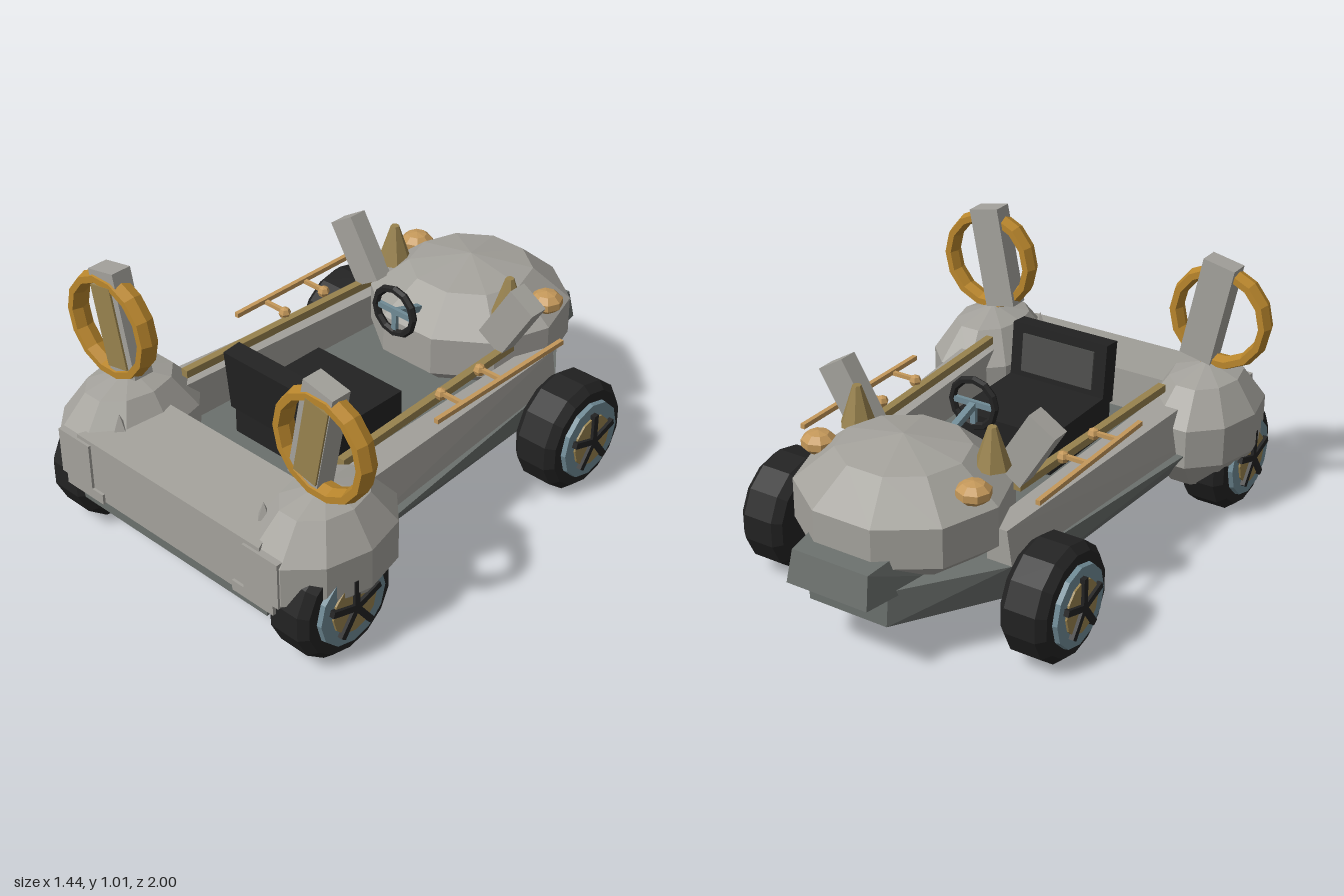
import * as THREE from 'three';
import { ConvexGeometry } from 'three/addons/geometries/ConvexGeometry.js';

const paint = (name, color) => {
  const m = new THREE.MeshStandardMaterial({ color });
  m.name = name;
  return m;
};

export function createModel() {
  const kart = new THREE.Group();
  kart.name = 'kart';
  const body = paint('body grey', 0xa3a19b);
  const hull = paint('hull grey', 0x6b706d);
  const black = paint('rubber black', 0x222222);
  const panelGrey = paint('seat panel grey', 0x4c4d4b);
  const gold = paint('ring gold', 0xb9862c);
  const khaki = paint('khaki brass', 0x98824e);
  const copper = paint('copper', 0xc4985a);
  const steel = paint('blue steel', 0x6f8a95);

  // Adds a faceted mesh: split faces carry their own normals
  const add = (name, geo, mat, x = 0, y = 0, z = 0, parent = kart) => {
    const g = geo.index ? geo.toNonIndexed() : geo;
    g.computeVertexNormals();
    const m = new THREE.Mesh(g, mat);
    m.name = name;
    m.position.set(x, y, z);
    parent.add(m);
    return m;
  };
  const box = (w, h, d) => new THREE.BoxGeometry(w, h, d);
  const convex = (pts) => new ConvexGeometry(pts.map((p) => new THREE.Vector3(...p)));
  const mirrored = (pts) => convex(pts.flatMap(([x, y, z]) => [[x, y, z], [-x, y, z]]));
  const ball = (rx, ry, rz, w = 10, h = 5) => new THREE.SphereGeometry(1, w, h).scale(rx, ry, rz);

  // Lower hull; its top is the cockpit floor
  add('lowerHull', mirrored([
    [0.16, 0.18, -0.89], [0.39, 0.18, -0.52], [0.46, 0.18, 0.97],
    [0.17, 0.32, -0.89], [0.43, 0.33, -0.55], [0.545, 0.33, 0.5], [0.46, 0.33, 0.97],
  ]), hull);

  // Rear deck and panel
  add('rearDeck', mirrored([
    [0.45, 0.235, 0.985], [0.45, 0.465, 0.985], [0.32, 0.235, 0.67], [0.32, 0.49, 0.67],
  ]), body);

  // Nose dome and bumper
  add('noseDome', ball(0.4, 0.24, 0.39), body, 0, 0.47, -0.555);
  add('noseBumper', mirrored([
    [0.18, 0.44, -0.75], [0.155, 0.42, -0.975], [0.165, 0.3, -1], [0.22, 0.3, -0.7],
  ]), hull);

  // Seat
  add('seatCushion', box(0.41, 0.16, 0.42), black, 0, 0.405, 0.26);
  const seatBack = new THREE.Group();
  seatBack.name = 'seatBack';
  seatBack.position.set(0, 0.57, 0.465);
  seatBack.rotation.x = 0.1;
  kart.add(seatBack);
  add('backrest', box(0.41, 0.24, 0.075), black, 0, 0, 0, seatBack);
  add('backrestPanel', box(0.31, 0.15, 0.009), panelGrey, 0, 0.01, -0.041, seatBack);

  // Steering wheel
  add('steeringWheel', new THREE.TorusGeometry(0.09, 0.015, 6, 12), black, 0, 0.645, -0.135);
  add('steeringSpoke', box(0.16, 0.022, 0.015), steel, 0, 0.645, -0.137);
  add('steeringStem', box(0.022, 0.09, 0.015), steel, 0, 0.6, -0.137);
  const column = add('steeringColumn', box(0.025, 0.025, 0.14), steel, 0, 0.62, -0.2);
  column.rotation.x = -0.3;

  // Tyre, rim, hub and star of spokes; the axle points to the side s
  const tyreProfile = [[0, -0.09], [0.19, -0.09], [0.217, -0.06], [0.217, 0.06], [0.19, 0.09], [0, 0.09]]
    .map((p) => new THREE.Vector2(...p));
  const addWheel = (name, s, z) => {
    const w = new THREE.Group();
    w.name = name;
    w.position.set(s * 0.55, 0.217, z);
    w.rotation.y = s * Math.PI / 2;
    kart.add(w);
    const turn = Math.PI / 2;
    add('tyre', new THREE.LatheGeometry(tyreProfile, 14).rotateX(turn), black, 0, 0, 0, w);
    add('rim', new THREE.CylinderGeometry(0.15, 0.155, 0.03, 12).rotateX(turn), steel, 0, 0, 0.093, w);
    add('hub', new THREE.CylinderGeometry(0.1, 0.105, 0.03, 12).rotateX(turn), khaki, 0, 0, 0.1, w);
    for (let i = 0; i < 5; i++) {
      const spoke = box(0.024, 0.115, 0.03).translate(0, 0.057, 0).rotateZ(i * Math.PI * 0.4);
      add('spoke', spoke, black, 0, 0, 0.112, w);
    }
  };

  for (const s of [1, -1]) {
    const side = s > 0 ? 'left' : 'right';
    addWheel(side + 'FrontWheel', s, 0.77);
    addWheel(side + 'BackWheel', s, -0.48);

    // Tapered side wall of the cockpit
    add(side + 'SideWall', convex([
      [0.52, 0.33, 0.6], [0.49, 0.49, 0.6], [0.37, 0.49, 0.6], [0.37, 0.33, 0.6],
      [0.43, 0.33, -0.55], [0.41, 0.46, -0.55], [0.33, 0.46, -0.55], [0.33, 0.33, -0.55],
    ].map(([x, y, z]) => [s * x, y, z])), body);

    // Round fender with flap, lip and small spur
    add(side + 'Fender', ball(0.22, 0.245, 0.3), body, s * 0.48, 0.355, 0.715);
    add(side + 'FenderFlap', box(0.16, 0.18, 0.1), body, s * 0.46, 0.36, 0.945);
    add(side + 'FenderLip', box(0.19, 0.04, 0.08), body, s * 0.42, 0.25, 0.955);
    add(side + 'FenderSpur', new THREE.ConeGeometry(0.03, 0.07, 4), body, s * 0.355, 0.5, 0.87);

    // Gold ring with a leaning post
    add(side + 'Ring', new THREE.TorusGeometry(0.183, 0.025, 6, 14).scale(1, 1, 1.7),
      gold, s * 0.51, 0.775, 0.745);
    const post = new THREE.Group();
    post.name = side + 'Post';
    post.position.set(s * 0.475, 0.8, 0.735);
    post.rotation.z = -s * 0.2;
    kart.add(post);
    add('postBoard', box(0.13, 0.4, 0.08), body, 0, 0, 0, post);
    add('postPanel', box(0.1, 0.31, 0.009), khaki, s * 0.012, -0.01, 0.043, post);

    // Leaning block beside the nose
    const block = add(side + 'NoseBlock', box(0.12, 0.26, 0.075), body, s * 0.37, 0.67, -0.348);
    block.rotation.z = -s * 0.55;

    // Cone and knob on the nose
    add(side + 'NoseCone', new THREE.CylinderGeometry(0.016, 0.065, 0.15, 7), khaki, s * 0.28, 0.69, -0.44);
    add(side + 'NoseKnob', ball(0.065, 0.042, 0.065, 8, 5), copper, s * 0.32, 0.61, -0.61);

    // Inner rail, outer rod and the links between them
    const rail = add(side + 'Rail', box(0.03, 0.03, 0.93), khaki, s * 0.363, 0.53, 0.08);
    rail.rotation.y = s * 0.045;
    add(side + 'Rod', box(0.018, 0.018, 0.68), copper, s * 0.49, 0.565, -0.15);
    for (const z of [0.045, -0.16]) {
      add(side + 'RodLink', box(0.12, 0.015, 0.015), copper, s * 0.435, 0.56, z);
      add(side + 'RodJoint', ball(0.024, 0.024, 0.024, 6, 4), copper, s * 0.385, 0.555, z);
    }
  }
  return kart;
}
